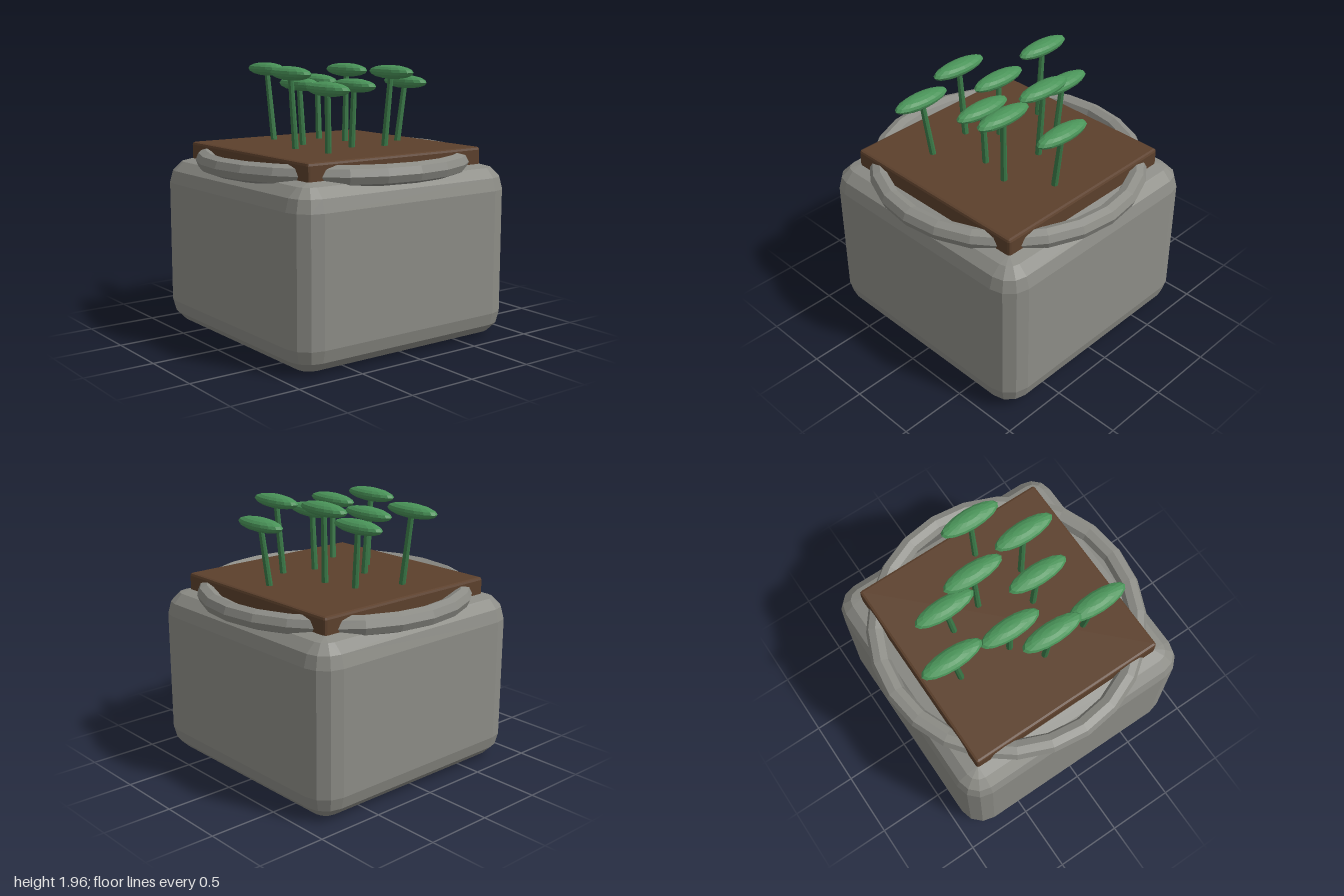
import * as THREE from 'three';
import { ConvexGeometry } from 'three/addons/geometries/ConvexGeometry.js';

const material = (color) => new THREE.MeshStandardMaterial({ color, flatShading: true });

// Box with faceted rounded edges: the hull of eight sphere octants
function bevelledBox(w, h, d, r, steps) {
  const points = [];
  for (const sx of [-1, 1]) for (const sy of [-1, 1]) for (const sz of [-1, 1]) {
    for (let i = 0; i <= steps; i++) {
      const lat = (i / steps) * Math.PI / 2;
      const turns = i === steps ? 0 : steps;
      for (let j = 0; j <= turns; j++) {
        const lon = (j / steps) * Math.PI / 2;
        points.push(new THREE.Vector3(
          sx * (w / 2 - r + r * Math.cos(lat) * Math.cos(lon)),
          sy * (h / 2 - r + r * Math.sin(lat)),
          sz * (d / 2 - r + r * Math.cos(lat) * Math.sin(lon))));
      }
    }
  }
  return new ConvexGeometry(points);
}

export function createModel() {
  const model = new THREE.Group();
  model.name = 'planter';
  const add = (name, geometry, mat, parent = model) => {
    const mesh = new THREE.Mesh(geometry, mat);
    mesh.name = name;
    parent.add(mesh);
    return mesh;
  };

  const stone = material(0x8c8c86);
  const earth = material(0x5c402c);
  const stemGreen = material(0x3a7a48);
  const leafGreen = material(0x4a9459);

  // Stone pot and its round rim
  add('pot', bevelledBox(1.85, 1.255, 1.85, 0.18, 3), stone).position.y = 0.6325;
  const rim = add('rim', new THREE.TorusGeometry(0.928, 0.072, 8, 24), stone);
  rim.rotation.x = Math.PI / 2;
  rim.position.y = 1.28;

  // Square slab of soil
  add('soil', bevelledBox(1.51, 0.16, 1.51, 0.02, 2), earth).position.y = 1.30;

  // Sprouts lean outwards from the middle: leaf centre x, y, z
  const sprouts = [
    [0.10, 1.82, -0.595], [0.325, 1.91, -0.275], [-0.125, 1.91, -0.215],
    [-0.40, 1.82, -0.145], [0.25, 1.82, 0], [-0.565, 1.91, 0.205],
    [-0.12, 1.82, 0.215], [0.07, 1.91, 0.42], [0.46, 1.82, 0.385],
  ];
  const leafGeometry = new THREE.SphereGeometry(1, 16, 8).scale(0.23, 0.05, 0.078);
  const up = new THREE.Vector3(0, 1, 0);
  for (const [x, y, z] of sprouts) {
    const sprout = new THREE.Group();
    sprout.name = 'sprout';
    model.add(sprout);

    const top = new THREE.Vector3(x, y, z);
    const base = new THREE.Vector3(x * 0.89, 1.35, z * 0.89);
    const direction = top.clone().sub(base);
    const stem = add('stem',
      new THREE.CylinderGeometry(0.02, 0.024, direction.length(), 8), stemGreen, sprout);
    stem.position.copy(base).add(top).multiplyScalar(0.5);
    stem.quaternion.setFromUnitVectors(up, direction.normalize());

    add('leaf', leafGeometry, leafGreen, sprout).position.copy(top);
  }
  return model;
}
